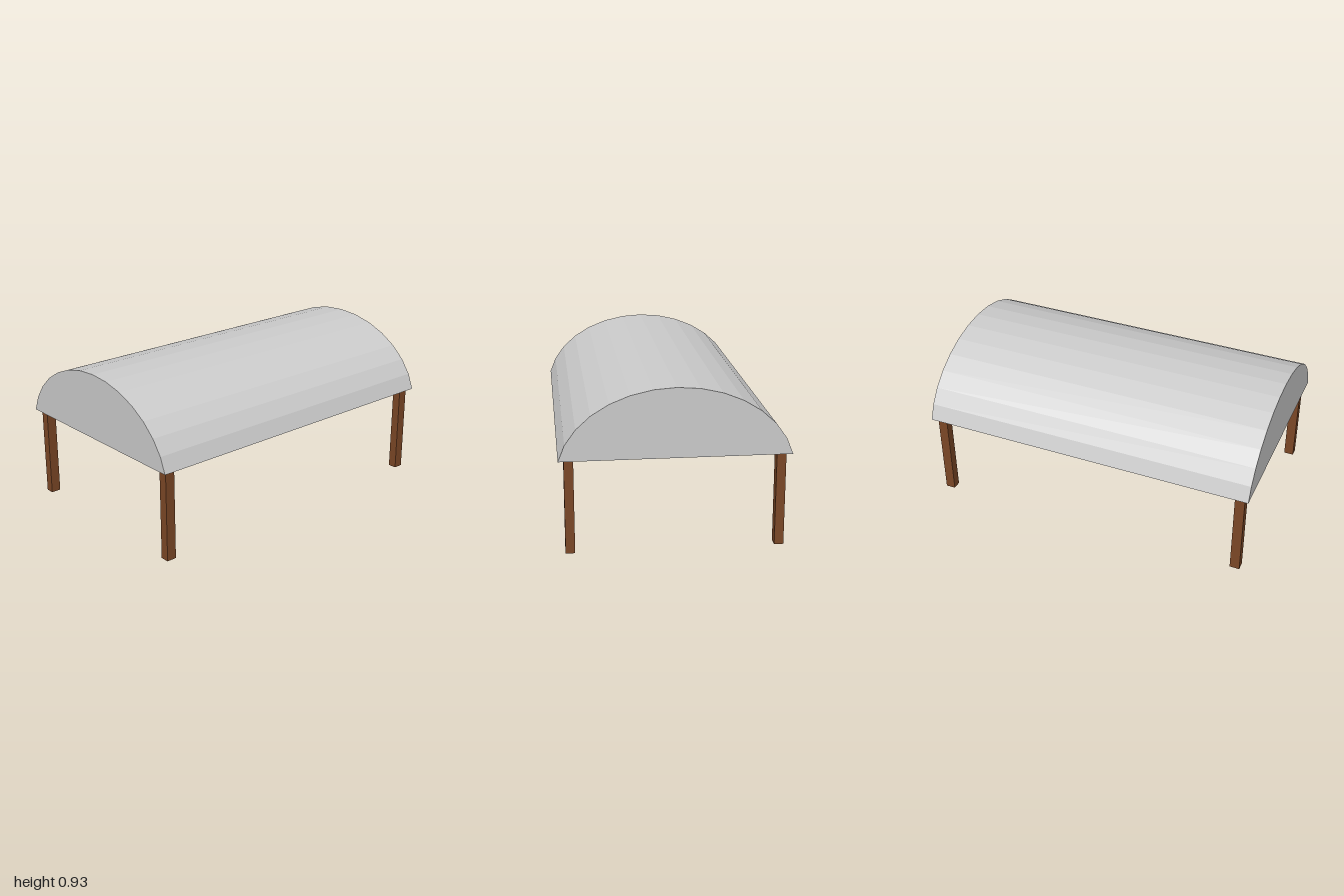
import * as THREE from 'three';

export function createModel() {
  const model = new THREE.Group();
  model.name = 'archedShelter';
  const grey = new THREE.MeshStandardMaterial({ color: 0xcccccc, flatShading: true });
  const brown = new THREE.MeshStandardMaterial({ color: 0x7b4726, flatShading: true });

  // Roof: a faceted elliptical arc closed by a flat underside, extruded along x
  const step = Math.PI / 16, half = 7;
  const arc = [];
  for (let i = -half; i <= half; i++) {
    arc.push(new THREE.Vector2(0.647 * Math.sin(i * step), 0.441 + 0.484 * Math.cos(i * step)));
  }
  const roofGeometry = new THREE.ExtrudeGeometry(new THREE.Shape(arc), { depth: 2, bevelEnabled: false });
  roofGeometry.translate(0, 0, -1).rotateY(Math.PI / 2);
  const roof = new THREE.Mesh(roofGeometry, grey);
  roof.name = 'roof';
  model.add(roof);

  // Four square posts under the roof corners
  const height = 0.535;
  const postGeometry = new THREE.BoxGeometry(0.058, height, 0.052);
  for (const x of [-1, 1]) {
    for (const z of [-1, 1]) {
      const post = new THREE.Mesh(postGeometry, brown);
      post.name = (z > 0 ? 'front' : 'back') + (x > 0 ? 'Left' : 'Right') + 'Post';
      post.position.set(x * 0.944, height / 2, z * 0.578);
      model.add(post);
    }
  }
  return model;
}
